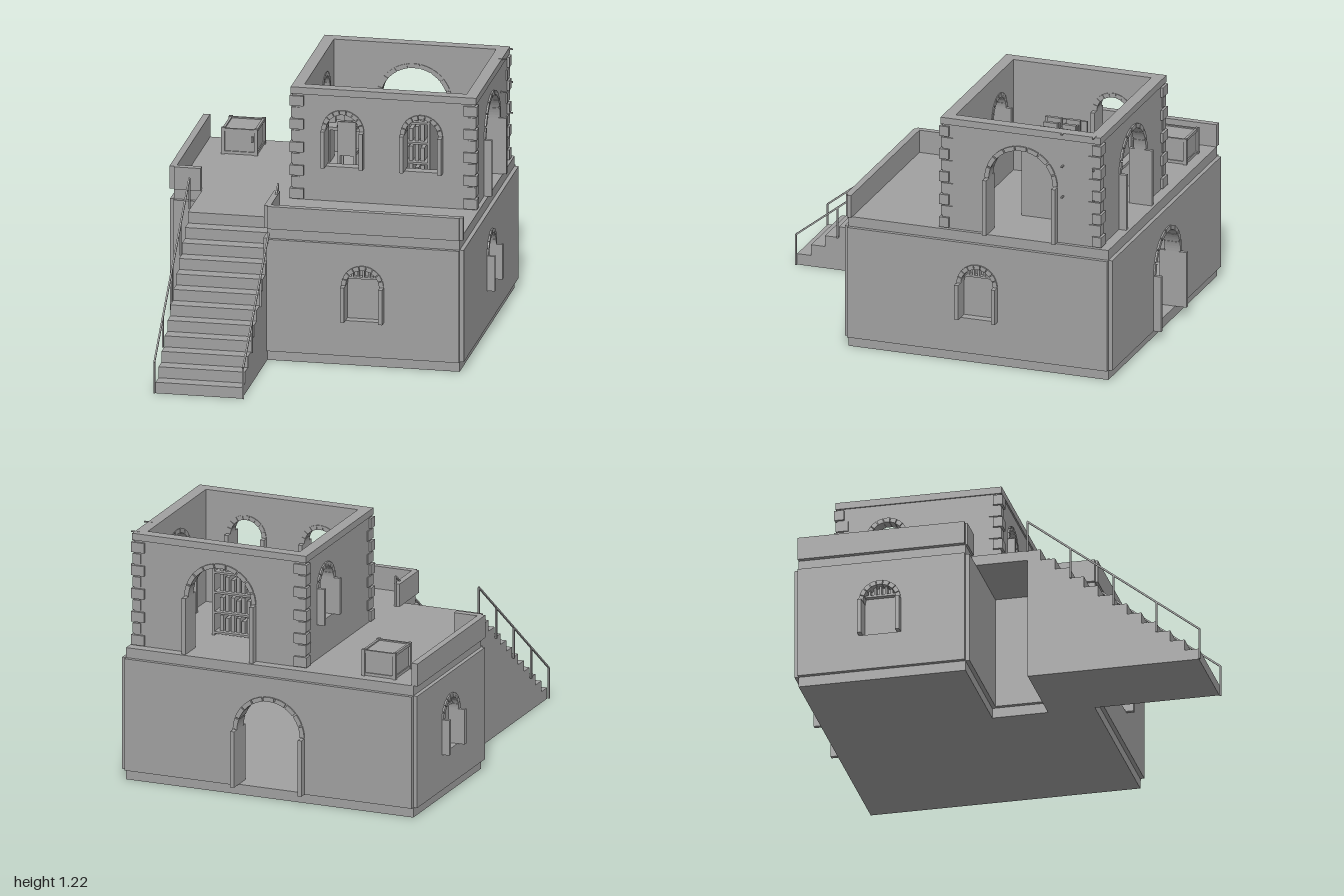
import * as THREE from 'three';

const stone = new THREE.MeshStandardMaterial({ color: 0xa0a0a0 });
stone.name = 'grey stone';

const FRONT = 0, RIGHT = Math.PI / 2, BACK = Math.PI, LEFT = -Math.PI / 2;

function add(parent, name, geometry) {
  const mesh = new THREE.Mesh(geometry, stone);
  mesh.name = name;
  parent.add(mesh);
  return mesh;
}

// Box given by its limits on each axis
function box(parent, name, x0, x1, y0, y1, z0, z1) {
  const mesh = add(parent, name, new THREE.BoxGeometry(x1 - x0, y1 - y0, z1 - z0));
  mesh.position.set((x0 + x1) / 2, (y0 + y1) / 2, (z0 + z1) / 2);
  return mesh;
}

// Horizontal slab from an outline of [x, z] points
function slab(parent, name, points, y0, y1) {
  const shape = new THREE.Shape(points.map(([x, z]) => new THREE.Vector2(x, -z)));
  const geometry = new THREE.ExtrudeGeometry(shape, { depth: y1 - y0, bevelEnabled: false });
  add(parent, name, geometry.rotateX(-Math.PI / 2).translate(0, y0, 0));
}

// Arched path: up the left side, over the arch and down the right side
function archPath(path, { c, y0, spring, r }) {
  path.lineTo(c - r, y0);
  path.lineTo(c - r, spring);
  path.absarc(c, spring, r, Math.PI, 0, true);
  path.lineTo(c + r, y0);
}

// Wall facing local +z, turned to its side of the building, with arched openings
function wall(parent, name, side, plane, a0, a1, y0, y1, thick, openings = []) {
  const group = new THREE.Group();
  group.name = name;
  group.rotation.y = side;
  parent.add(group);
  const shape = new THREE.Shape();
  shape.moveTo(a0, y0);
  for (const o of openings) {
    if (o.y0 <= y0) archPath(shape, o);
    else {
      const hole = new THREE.Path();
      hole.moveTo(o.c - o.r, o.y0);
      archPath(hole, o);
      hole.closePath();
      shape.holes.push(hole);
    }
  }
  shape.lineTo(a1, y0);
  shape.lineTo(a1, y1);
  shape.lineTo(a0, y1);
  const geometry = new THREE.ExtrudeGeometry(shape, { depth: thick, bevelEnabled: false, curveSegments: 16 });
  add(group, name + 'Panel', geometry.translate(0, 0, plane - thick));
  for (const o of openings) surround(group, o, plane, thick);
}

// Jambs, arch stones and, for glazed windows, a recessed pane with fan bars
function surround(group, o, plane, thick) {
  const { c, y0, spring, r } = o;
  for (const s of [-1, 1]) {
    const x = c + s * (r + 0.01);
    box(group, 'jamb', x - 0.01, x + 0.01, y0, spring, plane - thick - 0.03, plane + 0.038);
  }
  const count = 9, step = Math.PI / count;
  for (let i = 0; i < count; i++) {
    const a = i * step + 0.02, b = (i + 1) * step - 0.02;
    const block = new THREE.Shape();
    block.absarc(c, spring, r + 0.02, a, b, false);
    block.absarc(c, spring, r - 0.002, b, a, true);
    const geometry = new THREE.ExtrudeGeometry(block, { depth: thick + 0.012, bevelEnabled: false, curveSegments: 2 });
    add(group, 'archStone', geometry.translate(0, 0, plane - thick - 0.004));
  }
  if (!o.glazed) return;
  const pane = new THREE.Shape();
  pane.moveTo(c - r, y0);
  archPath(pane, o);
  add(group, 'windowPane', new THREE.ExtrudeGeometry(pane, { depth: 0.01, bevelEnabled: false })
    .translate(0, 0, plane - 0.055));
  box(group, 'windowRail', c - r, c + r, spring + 0.03, spring + 0.04, plane - 0.045, plane - 0.02);
  for (let i = -2; i <= 2; i++) {
    const x = c + i * 0.027;
    const top = spring + Math.sqrt(r * r - (i * 0.027) ** 2);
    box(group, 'fanBar', x - 0.005, x + 0.005, spring + 0.035, top, plane - 0.045, plane - 0.02);
  }
}

// Lower storey: floor, walls and roof terrace with the stair landing
function lowerStorey(parent) {
  const g = new THREE.Group();
  g.name = 'lowerStorey';
  parent.add(g);
  const X = 0.745, N = -0.19, Z0 = -0.937, Z1 = 0.383, NZ = -0.12;
  slab(g, 'baseFloor', [[-X, Z0], [X, Z0], [X, Z1], [N, Z1], [N, NZ], [-X, NZ]], 0, 0.05);
  slab(g, 'terrace', [[-X, Z0], [X, Z0], [X, Z1], [N, Z1], [N, 0.2], [-0.61, 0.2], [-0.61, NZ], [-X, NZ]], 0.61, 0.66);
  const win = c => [{ c, y0: 0.228, spring: 0.403, r: 0.083, glazed: true }];
  const door = [{ c: 0.005, y0: 0.05, spring: 0.33, r: 0.165 }];
  const rows = [
    ['frontWall', FRONT, Z1, N, X, win(0.277)],
    ['rightWall', RIGHT, X, -Z1, -Z0, win(0.278)],
    ['backWall', BACK, -Z0, -X, X, door],
    ['leftWall', LEFT, X, Z0, NZ, win(-0.535)],
    ['notchFrontWall', FRONT, NZ, -X, N, []],
    ['notchSideWall', LEFT, -N, NZ, Z1, []],
  ];
  for (const [name, side, plane, a0, a1, openings] of rows)
    wall(g, name, side, plane + 0.02, a0, a1, 0.05, 0.61, 0.07, openings);

  // Low parapets around the terrace edge
  box(g, 'sideParapet', -0.768, -0.735, 0.66, 0.773, -0.937, -0.12);
  box(g, 'sideParapetReturn', -0.745, -0.615, 0.66, 0.773, -0.145, -0.11);
  box(g, 'frontParapet', -0.19, 0.745, 0.66, 0.773, 0.365, 0.397);
  box(g, 'frontParapetEnd', 0.735, 0.762, 0.66, 0.773, 0.365, 0.385);
  box(g, 'frontParapetReturn', -0.205, -0.175, 0.66, 0.773, 0.153, 0.385);
}

// Open-topped upper room with arched doors, windows and corner stones
function upperRoom(parent) {
  const g = new THREE.Group();
  g.name = 'upperRoom';
  parent.add(g);
  const X0 = -0.163, X1 = 0.725, Z0 = -0.886, Z1 = -0.086, Y0 = 0.66, Y1 = 1.2;
  const win = c => ({ c, y0: 0.833, spring: 1.015, r: 0.083 });
  const door = c => [{ c, y0: Y0, spring: 0.94, r: 0.165 }];
  const T = 0.05;
  wall(g, 'roomFrontWall', FRONT, Z1, X0, X1, Y0, Y1, T, [win(0.082), win(0.465)]);
  wall(g, 'roomRightWall', RIGHT, X1, -Z1, -Z0, Y0, Y1, T, door(0.487));
  wall(g, 'roomBackWall', BACK, -Z0, -X1, -X0, Y0, Y1, T, door(-0.277));
  wall(g, 'roomLeftWall', LEFT, -X0, Z0, Z1, Y0, Y1, T, [win(-0.642)]);

  // Coping around the top
  const e = 0.007;
  box(g, 'frontCoping', X0 - e, X1 + e, 1.188, 1.222, Z1 - T, Z1 + e);
  box(g, 'backCoping', X0 - e, X1 + e, 1.188, 1.222, Z0 - e, Z0 + T);
  box(g, 'leftCoping', X0 - e, X0 + T, 1.188, 1.222, Z0, Z1);
  box(g, 'rightCoping', X1 - T, X1 + e, 1.188, 1.222, Z0, Z1);

  // Alternating corner stones
  for (const sx of [-1, 1]) for (const sz of [-1, 1]) {
    const cx = sx < 0 ? X0 : X1, cz = sz < 0 ? Z0 : Z1;
    for (let i = 0; i < 9; i++) {
      const long = i % 2 === 0, y = 0.665 + i * 0.058;
      const lx = long ? 0.055 : 0.035, lz = long ? 0.035 : 0.055, out = long ? 0.012 : 0.006;
      const xs = [cx + sx * out, cx - sx * lx].sort((a, b) => a - b);
      const zs = [cz + sz * out, cz - sz * lz].sort((a, b) => a - b);
      box(g, 'cornerStone', ...xs, y, y + 0.05, ...zs);
    }
  }
  // Small pegs on the right wall
  for (const z of [-0.7, -0.86]) for (const y of [0.9, 1.055, 1.22])
    box(g, 'wallPeg', 0.71, 0.752, y - 0.003, y + 0.003, z - 0.004, z + 0.004);
}

// Bookcase, desk and chair inside the upper room
function furniture(parent) {
  const g = new THREE.Group();
  g.name = 'furniture';
  parent.add(g);
  for (const x of [0.113, 0.433]) box(g, 'bookcaseEnd', x, x + 0.012, 0.66, 1.05, -0.598, -0.385);
  box(g, 'bookcaseBack', 0.12, 0.44, 0.66, 1.03, -0.496, -0.488);
  for (let level = 0; level < 4; level++) {
    const y = 0.67 + level * 0.1;
    box(g, 'bookcaseShelf', 0.12, 0.44, y, y + 0.01, -0.598, -0.385);
    for (let i = 0; i < 10; i++) {
      const x = 0.143 + i * 0.028, h = 0.06 + ((i * 7 + level * 3) % 5) * 0.006;
      box(g, 'book', x, x + 0.018, y + 0.01, y + 0.01 + h, -0.575, -0.505);
      box(g, 'book', x, x + 0.018, y + 0.01, y + 0.01 + h, -0.48, -0.41);
    }
  }
  box(g, 'deskTop', -0.112, 0.17, 0.825, 0.84, -0.775, -0.655);
  for (const x of [-0.11, 0.155]) box(g, 'deskSide', x, x + 0.013, 0.66, 0.825, -0.77, -0.66);
  box(g, 'deskTray', -0.062, 0.038, 0.84, 0.85, -0.69, -0.658);
  box(g, 'deskScreen', -0.045, 0.07, 0.85, 0.92, -0.748, -0.74);
  box(g, 'chairSeat', -0.028, 0.06, 0.75, 0.763, -0.6, -0.505);
  box(g, 'chairBack', -0.028, 0.06, 0.763, 0.92, -0.517, -0.505);
  for (const x of [-0.028, 0.048]) for (const z of [-0.6, -0.517])
    box(g, 'chairLeg', x, x + 0.012, 0.66, 0.75, z, z + 0.012);
}

// Framed crate on the terrace
function crate(parent) {
  const g = new THREE.Group();
  g.name = 'crate';
  parent.add(g);
  box(g, 'crateBody', -0.622, -0.464, 0.665, 0.783, -0.878, -0.697);
  for (const x of [-0.632, -0.472]) for (const z of [-0.888, -0.706])
    box(g, 'cratePost', x, x + 0.017, 0.66, 0.792, z, z + 0.017);
  for (const y of [0.662, 0.775]) {
    for (const x of [-0.628, -0.47]) box(g, 'crateRail', x, x + 0.012, y, y + 0.014, -0.88, -0.695);
    for (const z of [-0.884, -0.703]) box(g, 'crateRail', -0.625, -0.46, y, y + 0.014, z, z + 0.012);
  }
  box(g, 'crateHandle', -0.485, -0.477, 0.725, 0.755, -0.697, -0.685);
}

// Outside stair with thin handrails
function stair(parent) {
  const g = new THREE.Group();
  g.name = 'stair';
  parent.add(g);
  const profile = new THREE.Shape();
  const rise = 0.055, run = 0.0705, end = 0.992;
  profile.moveTo(0.153, 0);
  profile.lineTo(end, 0);
  for (let i = 0; i < 12; i++) {
    profile.lineTo(end - i * run, (i + 1) * rise);
    profile.lineTo(i < 11 ? end - (i + 1) * run : 0.153, (i + 1) * rise);
  }
  const geometry = new THREE.ExtrudeGeometry(profile, { depth: 0.42, bevelEnabled: false });
  add(g, 'steps', geometry.rotateY(-Math.PI / 2).translate(-0.19, 0, 0));
  const slope = 0.655 / 0.843;
  for (const x of [-0.616, -0.184]) {
    for (let i = 0; i < 5; i++) {
      const z = 0.996 - i * 0.2107, top = 0.155 + (0.996 - z) * slope;
      box(g, 'railPost', x - 0.004, x + 0.004, Math.max(0, top - 0.155), top, z - 0.004, z + 0.004);
    }
    const rail = box(g, 'handrail', -0.004, 0.004, -0.004, 0.004, 0, Math.hypot(0.843, 0.655));
    rail.position.set(x, 0.4825, 0.5745);
    rail.rotation.x = Math.atan(slope);
  }
}

export function createModel() {
  const model = new THREE.Group();
  model.name = 'house';
  for (const build of [lowerStorey, upperRoom, furniture, crate, stair]) build(model);
  return model;
}
